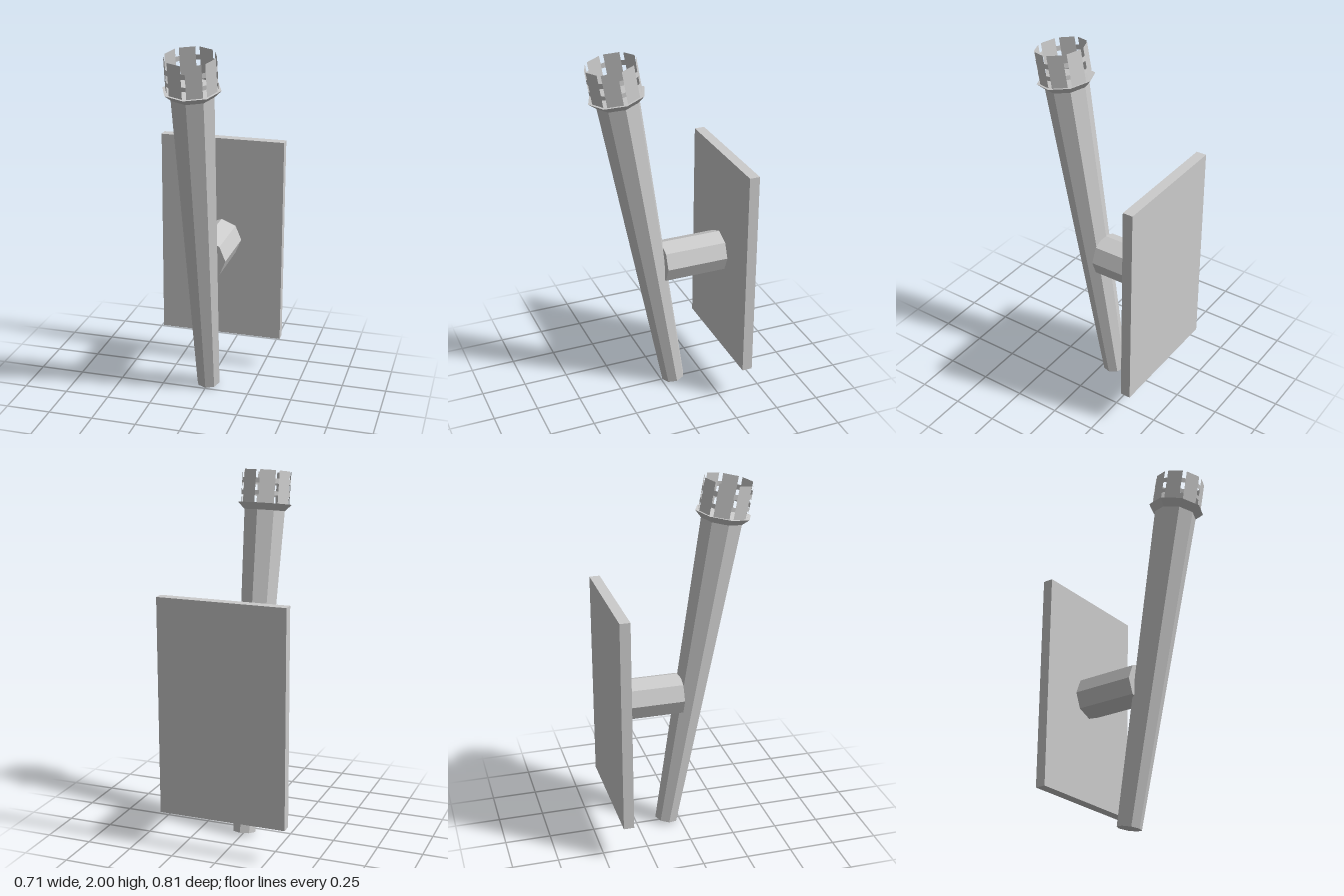
import * as THREE from 'three';

const SIDES = 8;

export function createModel() {
  const model = new THREE.Group();
  model.name = 'wallTorch';
  const grey = new THREE.MeshStandardMaterial({ color: 0xcccccc, flatShading: true });
  const sheet = new THREE.MeshStandardMaterial({ color: 0xcccccc, flatShading: true, side: THREE.DoubleSide });

  const add = (parent, name, geometry, material = grey) => {
    const mesh = new THREE.Mesh(geometry, material);
    mesh.name = name;
    parent.add(mesh);
    return mesh;
  };

  // Wall plate and the octagonal arm that holds the torch
  add(model, 'wallPlate', new THREE.BoxGeometry(0.71, 1.19, 0.057)).position.set(0, 0.795, -0.377);
  const arm = add(model, 'bracketArm', new THREE.CylinderGeometry(0.117, 0.117, 0.353, SIDES));
  arm.rotation.x = Math.PI / 2;
  arm.position.set(0, 0.795, -0.172);

  // Torch leans forward, its parts stand along the local y axis
  const torch = new THREE.Group();
  torch.name = 'torch';
  torch.position.set(0, 0.012, -0.073);
  torch.rotation.x = THREE.MathUtils.degToRad(10);
  model.add(torch);

  add(torch, 'handle', new THREE.CylinderGeometry(0.117, 0.066, 1.785, SIDES)).position.y = 1.785 / 2;
  add(torch, 'rim', new THREE.CylinderGeometry(0.155, 0.117, 0.036, SIDES)).position.y = 1.802;

  // Basket: flat panels with a slot at every corner, bridged by two rows of bars
  const basket = new THREE.Group();
  basket.name = 'basket';
  torch.add(basket);
  const radius = 0.141, slot = 0.012, bottom = 1.82, top = 1.996;
  const half = Math.PI / SIDES;
  const panelWidth = 2 * (radius * Math.sin(half) - slot);
  const barWidth = 2 * slot * Math.cos(half);
  const place = (name, angle, distance, width, y0, y1) => {
    const strip = add(basket, name, new THREE.PlaneGeometry(width, y1 - y0), sheet);
    strip.position.set(Math.sin(angle) * distance, (y0 + y1) / 2, Math.cos(angle) * distance);
    strip.rotation.y = angle;
  };
  for (let i = 0; i < SIDES; i++) {
    const corner = i * 2 * half;
    place('basketPanel', corner + half, radius * Math.cos(half), panelWidth, bottom, top);
    for (const [y0, y1] of [[1.862, 1.885], [1.925, 1.952]])
      place('basketBar', corner, radius - slot * Math.sin(half), barWidth, y0, y1);
  }

  return model;
}
